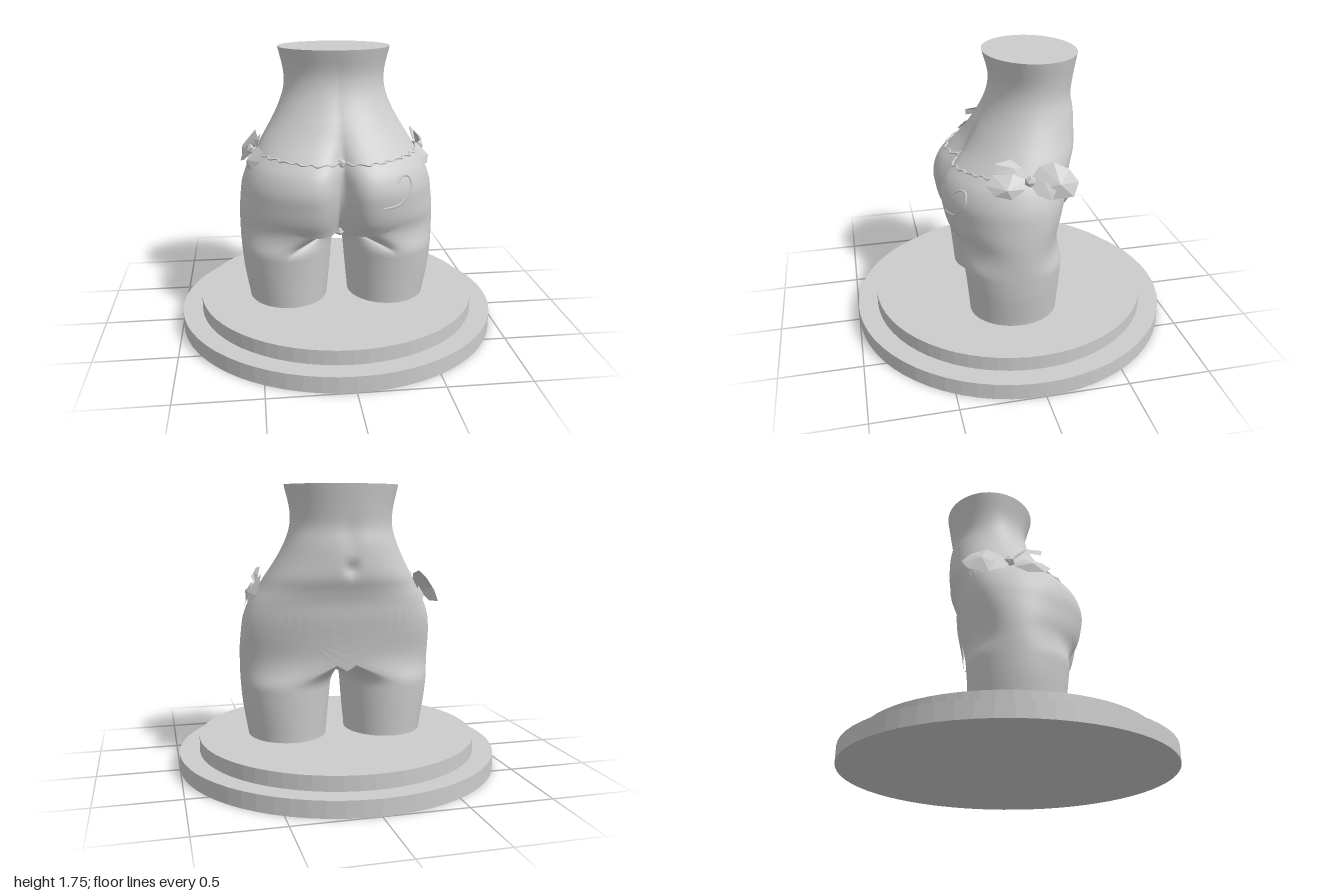
import * as THREE from 'three';
import { mergeVertices } from 'three/addons/utils/BufferGeometryUtils.js';

// Body profile by height: y, half width, front z, back z, centre z, cleft depth, back squareness, inner leg x
const PROFILE = [
  [0.19, 0.56, 0.31, -0.23, 0.04, 0, 2, 0.07],
  [0.40, 0.595, 0.33, -0.245, 0.04, 0.1, 2, 0.05],
  [0.58, 0.61, 0.355, -0.255, 0.03, 0.2, 2, 0.035],
  [0.66, 0.612, 0.385, -0.262, 0.03, 0.2, 2.2, 0.03],
  [0.75, 0.612, 0.435, -0.272, 0.02, 0.2, 2.3, 0.03],
  [0.85, 0.605, 0.462, -0.29, 0, 0.18, 2.4, 0.03],
  [0.95, 0.59, 0.472, -0.31, 0, 0.17, 2.5, 0.03],
  [1.05, 0.55, 0.44, -0.325, 0, 0.14, 2.6, 0.03],
  [1.13, 0.50, 0.37, -0.35, -0.02, 0.1, 2.5, 0.03],
  [1.20, 0.46, 0.30, -0.378, -0.04, 0.05, 2.4, 0.03],
  [1.30, 0.40, 0.23, -0.388, -0.08, 0.02, 2.2, 0.03],
  [1.40, 0.35, 0.17, -0.388, -0.105, 0.012, 2.1, 0.03],
  [1.50, 0.318, 0.13, -0.375, -0.12, 0.01, 2, 0.03],
  [1.60, 0.317, 0.12, -0.385, -0.13, 0.008, 2, 0.03],
  [1.75, 0.35, 0.155, -0.41, -0.1275, 0, 2, 0.03],
];

// Smooth (Hermite) lookup of one column in a table sorted by its first column
function sample(table, v, col) {
  const last = table.length - 1;
  let i = 0;
  while (i < last - 1 && v > table[i + 1][0]) i++;
  const slope = (k) => {
    const a = table[Math.max(k - 1, 0)], b = table[Math.min(k + 1, last)];
    return (b[col] - a[col]) / (b[0] - a[0]);
  };
  const h = table[i + 1][0] - table[i][0];
  const t = THREE.MathUtils.clamp((v - table[i][0]) / h, 0, 1), t2 = t * t, t3 = t2 * t;
  return table[i][col] * (2 * t3 - 3 * t2 + 1) + table[i + 1][col] * (3 * t2 - 2 * t3)
    + h * (slope(i) * (t3 - 2 * t2 + t) + slope(i + 1) * (t3 - t2));
}

// Point on one half of the body; a runs 0 (front) to PI (back) outside, PI to 2PI along the inner leg.
// offset pushes it outwards, whole = true ignores the split into legs.
function bodyPoint(y, a, side, offset = 0, whole = false) {
  const [w, zf, zb, zm, cleft, n, xin] = [1, 2, 3, 4, 5, 6, 7].map((c) => sample(PROFILE, y, c));
  const k = whole ? 1 : THREE.MathUtils.smoothstep(y, 0.52, 0.72);
  const s = Math.sin(a), c = Math.cos(a);
  const seamF = zf - cleft + offset, seamB = zb - offset;
  let tx = 0, tz;
  if (a > Math.PI) {
    tz = seamB + (seamF - seamB) * (1 + c) / 2;
  } else if (c >= 0) {
    tx = (w + offset) * s;
    tz = zm + (zf - zm + offset) * c - cleft * Math.exp(-Math.pow(tx / 0.075, 1.2)) * c;
  } else {
    const e = 2 / n;
    tx = a === Math.PI ? 0 : (w + offset) * Math.pow(Math.abs(s), e);
    tz = zm + (zb - zm - offset) * Math.pow(-c, e);
    // navel and shallow belly groove
    tz += 0.03 * Math.exp(-((tx / 0.035) ** 2) - ((y - 1.26) / 0.04) ** 2);
    tz += 0.012 * Math.exp(-((tx / 0.06) ** 2) - ((y - 1.42) / 0.12) ** 2);
  }
  const lx = (w + xin) / 2 + (w - xin) / 2 * s;
  const lz = zm + (c >= 0 ? zf - zm : zm - zb) * c;
  return new THREE.Vector3(side * (lx + (tx - lx) * k), y, lz + (tz - lz) * k);
}

// Grid surface for both halves, welded along the middle
function mirroredSurface(rows, cols, pointAt) {
  const pos = [], index = [];
  for (const side of [1, -1]) {
    const base = pos.length / 3;
    for (let i = 0; i <= rows; i++)
      for (let j = 0; j <= cols; j++) pos.push(...pointAt(i / rows, j / cols, side).toArray());
    const tri = (a, b, c) => {
      if ([a, b, c].every((v) => Math.abs(pos[v * 3]) < 1e-4)) return; // hidden middle wall
      index.push(...(side > 0 ? [a, b, c] : [a, c, b]));
    };
    for (let i = 0; i < rows; i++)
      for (let j = 0; j < cols; j++) {
        const p = base + i * (cols + 1) + j, q = p + cols + 1;
        tri(p, p + 1, q);
        tri(p + 1, q + 1, q);
      }
  }
  const geo = new THREE.BufferGeometry();
  geo.setAttribute('position', new THREE.Float32BufferAttribute(pos, 3));
  geo.setIndex(index);
  const welded = mergeVertices(geo, 1e-4);
  welded.computeVertexNormals();
  return welded;
}

// Garment outline by angle: a, lower edge, upper edge
const REAR_EDGE = [[0, 0.65, 1.105], [0.25, 0.66, 1.11], [0.5, 0.7, 1.115], [0.7, 0.79, 1.12],
  [0.9, 0.93, 1.125], [1.2, 1.05, 1.13], [1.5708, 1.08, 1.14]];
const FRONT_EDGE = [[1.5708, 1.08, 1.14], [2.1, 1.05, 1.12], [2.5, 0.95, 1.04],
  [2.8, 0.82, 0.98], [3.0, 0.7, 0.955], [Math.PI, 0.63, 0.95]];

function panel(edge, rows, cols, offset) {
  const a0 = edge[0][0], a1 = edge[edge.length - 1][0];
  return mirroredSurface(rows, cols, (v, u, side) => {
    const a = u === 1 ? a1 : a0 + (a1 - a0) * u;
    const lo = sample(edge, a, 1), hi = sample(edge, a, 2);
    return bodyPoint(lo + (hi - lo) * v, a, side, offset, true);
  });
}

// Faceted bow lobe: a fan around a raised centre, points given as [z, y, x]
function lobe(centre, rim) {
  const pos = [];
  rim.forEach((p, i) => pos.push(...centre, ...p, ...rim[(i + 1) % rim.length]));
  const swapped = [];
  for (let i = 0; i < pos.length; i += 3) swapped.push(pos[i + 2], pos[i + 1], pos[i]);
  const geo = new THREE.BufferGeometry();
  geo.setAttribute('position', new THREE.Float32BufferAttribute(swapped, 3));
  geo.computeVertexNormals();
  return geo;
}

export function createModel() {
  const model = new THREE.Group();
  const smooth = new THREE.MeshStandardMaterial({ color: 0xcccccc });
  const facet = new THREE.MeshStandardMaterial({ color: 0xcccccc, flatShading: true });
  const cloth = new THREE.MeshStandardMaterial({ color: 0xcccccc, side: THREE.DoubleSide });
  const facetCloth = new THREE.MeshStandardMaterial({ color: 0xcccccc, side: THREE.DoubleSide, flatShading: true });
  const add = (name, geo, mat, parent = model) => {
    const mesh = new THREE.Mesh(geo, mat);
    mesh.name = name;
    parent.add(mesh);
    return mesh;
  };

  // Stepped round pedestal
  add('pedestalBase', new THREE.CylinderGeometry(1, 1, 0.1, 64), facet).position.y = 0.05;
  add('pedestalStep', new THREE.CylinderGeometry(0.875, 0.875, 0.1, 64), facet).position.y = 0.14;

  // Torso and legs in one skin, with a flat cut at the waist
  add('body', mirroredSurface(64, 128, (v, u, side) =>
    bodyPoint(0.185 + 1.565 * v, u === 0.5 ? Math.PI : u * Math.PI * 2, side)), smooth);
  const cap = add('waistCut', new THREE.CircleGeometry(1, 96).rotateX(-Math.PI / 2), smooth);
  cap.scale.set(0.35, 1, 0.2825);
  cap.position.set(0, 1.75, -0.1275);

  // Garment panels and gusset
  add('rearPanel', panel(REAR_EDGE, 24, 40, 0.01), cloth);
  add('frontPanel', panel(FRONT_EDGE, 6, 14, 0.018), facetCloth);
  const gusset = add('gusset', new THREE.SphereGeometry(1, 12, 8), facet);
  gusset.scale.set(0.055, 0.045, 0.26);
  gusset.position.set(0, 0.645, -0.01);

  // Uneven trim along the rear upper edge
  for (const side of [1, -1]) {
    const pts = [];
    for (let i = 0; i <= 24; i++) {
      const a = 1.45 * i / 24;
      pts.push(bodyPoint(sample(REAR_EDGE, a, 2) + 0.006 * Math.sin(i * 2.3), a, side, 0.008 + 0.004 * Math.sin(i * 1.7), true));
    }
    add('rearTrim', new THREE.TubeGeometry(new THREE.CatmullRomCurve3(pts), 60, 0.008, 5), facet);
  }
  const knot = add('rearTrimKnot', new THREE.IcosahedronGeometry(0.028, 0), facet);
  knot.position.set(0, 1.105, 0.3);

  // Raised curl on one side
  const curl = [[0.31, 1.0], [0.34, 1.03], [0.38, 1.03], [0.405, 0.98], [0.38, 0.92], [0.33, 0.87], [0.23, 0.855]]
    .map(([x, y]) => bodyPoint(y, Math.asin(x / sample(PROFILE, y, 1)), 1, 0.01, true));
  add('raisedCurl', new THREE.TubeGeometry(new THREE.CatmullRomCurve3(curl), 40, 0.008, 6), smooth);

  // Side bows: two broad loops, a folded upper loop, a hanging tail and a knot
  for (const side of [1, -1]) {
    const bow = new THREE.Group();
    bow.name = side > 0 ? 'leftBow' : 'rightBow';
    bow.scale.x = side;
    add('rearLoop', lobe([0.13, 1.1, 0.56], [[0, 1.13, 0.51], [0.08, 1.17, 0.49], [0.19, 1.16, 0.46],
      [0.24, 1.11, 0.48], [0.2, 1.06, 0.53], [0.1, 1.04, 0.56], [0.02, 1.09, 0.54]]), facetCloth, bow);
    add('frontLoop', lobe([-0.17, 1.12, 0.585], [[0, 1.12, 0.51], [-0.07, 1.2, 0.49], [-0.15, 1.225, 0.5],
      [-0.24, 1.18, 0.52], [-0.29, 1.11, 0.55], [-0.25, 1.04, 0.59], [-0.13, 1.03, 0.58], [-0.04, 1.08, 0.55]]), facetCloth, bow);
    add('upperFold', lobe([0.09, 1.215, 0.51], [[0.0, 1.14, 0.51], [0.03, 1.2, 0.49], [0.09, 1.25, 0.47],
      [0.185, 1.235, 0.48], [0.18, 1.19, 0.5], [0.07, 1.19, 0.53]]), facetCloth, bow);
    add('tail', lobe([-0.1, 1.09, 0.575], [[0, 1.13, 0.53], [-0.08, 1.14, 0.55], [-0.15, 1.09, 0.58],
      [-0.12, 1.03, 0.6], [-0.04, 1.06, 0.57]]), facetCloth, bow);
    add('bowKnot', new THREE.IcosahedronGeometry(0.035, 0), facet, bow).position.set(0.525, 1.13, -0.01);
    model.add(bow);
  }
  return model;
}
